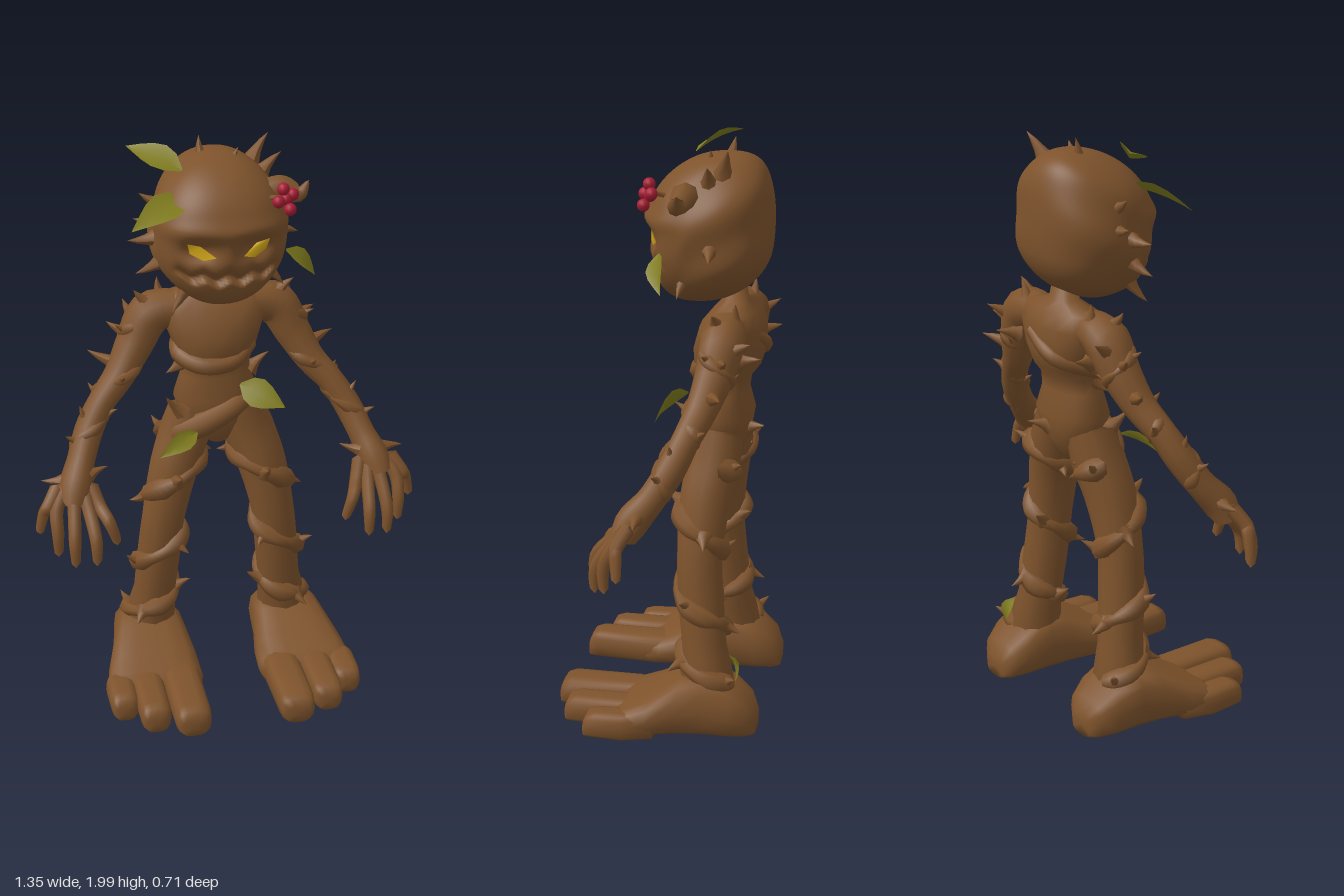
import * as THREE from 'three';

const material = (name, color) => {
  const m = new THREE.MeshStandardMaterial({ color });
  m.name = name;
  return m;
};
const V = (x, y, z) => new THREE.Vector3(x, y, z);

export function createModel() {
  const model = new THREE.Group();
  model.name = 'thornCreature';
  const bark = material('bark brown', 0x7e532c);
  const green = material('leaf green', 0x807c1e);
  const red = material('berry red', 0xa51c32);
  const yellow = material('eye yellow', 0xd6aa18);
  green.side = yellow.side = THREE.DoubleSide;

  const add = (name, geo, mat = bark) => {
    const mesh = new THREE.Mesh(geo, mat);
    mesh.name = name;
    model.add(mesh);
    return mesh;
  };

  // Tapered tube through [x, y, z, radius] points, mirrored by s
  const limb = (name, pts, s = 1, sides = 10, steps = 24) => {
    const curve = new THREE.CatmullRomCurve3(pts.map(p => V(p[0] * s, p[1], p[2])));
    const radius = t => {
      const f = Math.min(t, 0.9999) * (pts.length - 1), i = Math.floor(f);
      return THREE.MathUtils.lerp(pts[i][3], pts[i + 1][3], f - i);
    };
    const geo = new THREE.TubeGeometry(curve, steps, 1, sides);
    const pos = geo.attributes.position, nor = geo.attributes.normal;
    const v = V(), n = V();
    for (let i = 0; i < pos.count; i++) {
      const u = Math.floor(i / (sides + 1)) / steps;
      const end = u === 0 || u === 1 ? 0.05 : 1;
      v.fromBufferAttribute(pos, i);
      n.fromBufferAttribute(nor, i);
      v.addScaledVector(n, radius(curve.getUtoTmapping(u)) * end - 1);
      pos.setXYZ(i, v.x, v.y, v.z);
    }
    add(name, geo);
    return { curve, radius };
  };

  // Closed skin over equal-length rings, wound outward
  const loft = (name, rings) => {
    const n = rings[0].length, pts = rings.flat(), idx = [];
    const centre = r => r.reduce((a, p) => a.add(p), V()).divideScalar(n);
    pts.push(centre(rings[0]), centre(rings[rings.length - 1]));
    const last = (rings.length - 1) * n;
    for (let j = 0; j < n; j++) {
      const k = (j + 1) % n;
      for (let i = 0; i < last; i += n) idx.push(i + j, i + k, i + n + j, i + k, i + n + k, i + n + j);
      idx.push(pts.length - 2, k, j, pts.length - 1, last + j, last + k);
    }
    let volume = 0;
    for (let i = 0; i < idx.length; i += 3) volume += pts[idx[i]].dot(V().crossVectors(pts[idx[i + 1]], pts[idx[i + 2]]));
    if (volume < 0) idx.reverse();
    const geo = new THREE.BufferGeometry().setFromPoints(pts);
    geo.setIndex(idx);
    geo.computeVertexNormals();
    return add(name, geo);
  };
  const ring = (n, power, place) => Array.from({ length: n }, (_, i) => {
    const a = i / n * Math.PI * 2, c = Math.cos(a), d = Math.sin(a);
    return place(Math.sign(c) * Math.abs(c) ** power, Math.sign(d) * Math.abs(d) ** power);
  });

  // Hooked thorn with a flared base, one shared unit shape
  const thornGeo = new THREE.ConeGeometry(1, 1, 7, 4, true).translate(0, 0.5, 0);
  const tp = thornGeo.attributes.position;
  for (let i = 0; i < tp.count; i++) {
    const y = tp.getY(i), flare = 1 - 0.25 * Math.sin(y * Math.PI);
    tp.setX(i, tp.getX(i) * flare + 0.6 * y * (y - 1));
    tp.setZ(i, tp.getZ(i) * flare);
  }
  thornGeo.computeVertexNormals();
  const thorn = (base, tip, r) => {
    const d = tip.clone().sub(base), mesh = add('thorn', thornGeo);
    mesh.position.copy(base);
    mesh.scale.set(r, d.length(), r);
    mesh.quaternion.setFromUnitVectors(V(0, 1, 0), d.normalize());
  };

  // Vine winding down a limb, with thorns on its outside
  const vine = (name, body, s, { from, to, turns, phase, thick, lift, every, length }) => {
    const pts = [], count = Math.round(turns * 10);
    for (let i = 0; i <= count; i++) {
      const u = i / count, t = THREE.MathUtils.lerp(from, to, u);
      const a = phase - turns * Math.PI * 2 * u, out = V(Math.cos(a) * s, 0, Math.sin(a));
      const p = body.curve.getPoint(t).addScaledVector(out, body.radius(t) + lift);
      pts.push([p.x, p.y, p.z, thick * (0.85 + 0.3 * Math.sin(i * 1.7))]);
      if (i % every === 1) {
        const tip = p.clone().addScaledVector(out, length).add(V(0, i % 2 ? length * 0.6 : -length * 0.4, 0));
        thorn(p, tip, thick * 0.95);
      }
    }
    limb(name, pts, 1, 7, count * 3);
  };

  // Head: rounded block, crown leaning back and chin forward, with deep eye sockets and a jagged mouth
  const HC = V(0, 1.7, -0.13), R = V(0.228, 0.248, 0.208), N = 2.3;
  const carve = (x, y) => {
    const socket = 0.042 * Math.exp(-(((Math.abs(x) - 0.095) / 0.06) ** 2) - ((y - 1.675) / 0.04) ** 2);
    const zig = Math.abs(((x / 0.08 + 10) % 1) - 0.5) * 0.05;
    const above = y - (1.56 + zig + x * x * 0.7);
    const fade = 1 - THREE.MathUtils.smoothstep(Math.abs(x), 0.13, 0.19);
    const mouth = 0.03 * fade * Math.exp(-((above / (above > 0 ? 0.026 : 0.01)) ** 2));
    const brow = 0.012 * Math.exp(-(((y - 1.74) / 0.03) ** 2));
    return brow - socket - mouth;
  };
  const faceZ = (x, y) => HC.z + carve(x, y) + R.z *
    Math.max(0, 1 - Math.abs(x / R.x) ** N - Math.abs((y - HC.y) / R.y) ** N) ** (1 / N);
  const headGeo = new THREE.SphereGeometry(1, 120, 90);
  const hp = headGeo.attributes.position, d = V();
  for (let i = 0; i < hp.count; i++) {
    d.fromBufferAttribute(hp, i);
    const k = (Math.abs(d.x) ** N + Math.abs(d.y) ** N + Math.abs(d.z) ** N) ** (-1 / N);
    const front = THREE.MathUtils.smoothstep(d.z, 0.1, 0.4);
    const p = d.clone().multiplyScalar(k).multiply(R).add(HC);
    const crown = Math.max(0, p.y - 1.72) ** 2, chin = Math.max(0, 1.62 - p.y) ** 2;
    p.z += carve(p.x, p.y) * front - 1.1 * crown + 1.4 * chin;
    p.x = p.x * (1 - 3.5 * crown - 5 * chin) + 0.006 * Math.sin(p.y * 31 + p.z * 17) * (1 - front);
    hp.setXYZ(i, p.x, p.y, p.z);
  }
  headGeo.computeVertexNormals();
  add('head', headGeo);
  [[-0.05, 1.99, -0.2], [0.19, 1.98, -0.22], [0.07, 1.96, -0.14], [-0.31, 1.68, -0.1], [-0.28, 1.73, -0.17],
    [-0.29, 1.57, -0.08], [-0.18, 1.45, -0.01], [0.29, 1.64, -0.18], [0.21, 1.5, -0.06],
    [0.22, 1.93, -0.16], [-0.26, 1.82, -0.16]].forEach(t => {
    const tip = V(...t);
    thorn(HC.clone().lerp(tip, 0.6), tip, 0.048);
  });
  limb('browHorn', [[0.1, 1.8, -0.08, 0.05], [0.2, 1.83, -0.08, 0.045], [0.26, 1.81, -0.07, 0.028], [0.295, 1.85, -0.08, 0.004]], 1, 8);

  // Slanted eyes lying in the sockets
  for (const s of [-1, 1]) {
    const outline = [[0.137, 1.704], [0.092, 1.69], [0.045, 1.656], [0.085, 1.645], [0.127, 1.665]];
    const geo = new THREE.ShapeGeometry(new THREE.Shape(outline.map(p => new THREE.Vector2(p[0] * s, p[1]))));
    const ep = geo.attributes.position;
    for (let i = 0; i < ep.count; i++) ep.setZ(i, faceZ(ep.getX(i), ep.getY(i)) + 0.005);
    geo.computeVertexNormals();
    add('eye', geo, yellow);
  }

  // Torso from horizontal rings: height, depth centre, half width, half depth
  loft('torso', [[0.9, -0.17, 0.04, 0.05], [0.98, -0.18, 0.12, 0.09], [1.07, -0.185, 0.15, 0.1], [1.15, -0.185, 0.125, 0.08],
    [1.2, -0.185, 0.122, 0.088], [1.24, -0.192, 0.14, 0.112], [1.3, -0.2, 0.16, 0.122], [1.38, -0.21, 0.19, 0.108],
    [1.435, -0.222, 0.175, 0.075], [1.46, -0.215, 0.055, 0.045], [1.54, -0.21, 0.04, 0.035]]
    .map(([y, z, w, t]) => ring(16, 0.9, (c, e) => V(c * w, y, z + e * t))));
  limb('waistVine', [[0.13, 1.27, -0.16, 0.025], [0.04, 1.215, -0.1, 0.032], [-0.06, 1.21, -0.1, 0.034],
    [-0.13, 1.24, -0.17, 0.034], [-0.06, 1.29, -0.3, 0.03], [0.08, 1.36, -0.3, 0.02]], 1, 8, 36);
  limb('hipVine', [[0.13, 1.08, -0.2, 0.025], [0.06, 1.05, -0.105, 0.036], [-0.06, 0.99, -0.095, 0.045],
    [-0.15, 0.94, -0.14, 0.04], [-0.1, 0.92, -0.26, 0.025]], 1, 8, 30);
  [[[-0.13, 1.03, -0.13], [-0.19, 1.1, -0.1]], [[0.12, 1.15, -0.17], [0.19, 1.21, -0.17]], [[-0.12, 1.2, -0.17], [-0.18, 1.17, -0.15]],
    [[0.03, 1.02, -0.26], [0.06, 1.04, -0.33]]].forEach(([b, t]) => thorn(V(...b), V(...t), 0.035));

  for (const s of [-1, 1]) {
    // Arm and hand
    const arm = limb('arm', [[0.11, 1.39, -0.21, 0.06], [0.22, 1.37, -0.215, 0.078], [0.28, 1.27, -0.2, 0.066], [0.34, 1.17, -0.17, 0.054],
      [0.41, 1.09, -0.135, 0.047], [0.46, 1.01, -0.1, 0.05], [0.5, 0.92, -0.045, 0.048], [0.53, 0.85, 0.01, 0.058], [0.55, 0.78, 0.045, 0.04]], s, 10, 36);
    vine('armVine', arm, s, { from: 0.16, to: 0.78, turns: 2.6, phase: 1, thick: 0.023, lift: -0.012, every: 4, length: 0.045 });
    [[0.66, 0.69, 0.03], [0.605, 0.625, 0.085], [0.553, 0.6, 0.13], [0.482, 0.61, 0.15], [0.405, 0.66, 0.11]].forEach(([x, y, z], i) => {
      const bx = 0.585 - i * 0.026, kx = x + [-0.02, 0, 0, 0, 0.025][i];
      limb('finger', [[bx, 0.86, 0.005, 0.026], [(bx + kx) / 2 + (i < 2 ? 0.02 : 0), 0.79, 0.035 + z * 0.2, 0.024],
        [kx, y + 0.09, z * 0.9 + 0.01, 0.022], [x, y + 0.01, z, 0.015], [x, y, z, 0.004]], s, 7, 14);
    });
    // Shoulder, elbow and wrist thorns
    [[[0.22, 1.41, -0.2], [0.28, 1.47, -0.19], 0.04], [[0.17, 1.4, -0.24], [0.19, 1.49, -0.25], 0.04], [[0.28, 1.3, -0.21], [0.37, 1.34, -0.25], 0.045],
      [[0.26, 1.34, -0.23], [0.3, 1.39, -0.32], 0.045], [[0.31, 1.2, -0.18], [0.44, 1.24, -0.25], 0.05], [[0.46, 1.03, -0.1], [0.49, 1.1, -0.1], 0.03],
      [[0.55, 0.87, -0.01], [0.645, 0.87, -0.02], 0.035], [[0.48, 0.88, 0], [0.41, 0.9, -0.02], 0.028], [[0.2, 1.3, -0.26], [0.22, 1.32, -0.34], 0.035]]
      .forEach(([b, t, r]) => thorn(V(b[0] * s, b[1], b[2]), V(t[0] * s, t[1], t[2]), r));

    // Leg with its heavy vine
    const leg = limb('leg', [[0.08, 1.04, -0.18, 0.08], [0.115, 0.93, -0.17, 0.092], [0.16, 0.8, -0.15, 0.088], [0.2, 0.62, -0.14, 0.078],
      [0.22, 0.45, -0.15, 0.08], [0.235, 0.3, -0.165, 0.078], [0.25, 0.18, -0.178, 0.095], [0.25, 0.08, -0.18, 0.1]], s, 12, 32);
    vine('legVine', leg, s, { from: 0.14, to: 0.87, turns: 3.2, phase: -0.25, thick: 0.037, lift: -0.01, every: 3, length: 0.065 });

    // Foot from upright rings: z, x centre, half width, height
    const footRings = rows => rows.map(([z, x, w, h]) => ring(14, 0.65, (c, e) => V((x + c * w) * s, h * (e + 1) / 2, z)));
    loft('foot', footRings([[-0.355, 0.26, 0.05, 0.08], [-0.33, 0.26, 0.09, 0.13], [-0.27, 0.262, 0.115, 0.18], [-0.18, 0.262, 0.128, 0.22],
      [-0.1, 0.265, 0.14, 0.2], [0, 0.272, 0.165, 0.145], [0.08, 0.278, 0.174, 0.11], [0.13, 0.28, 0.16, 0.08]]));
    [[0.187, 0.065, 0.355, 0.105], [0.312, 0.055, 0.305, 0.1], [0.408, 0.05, 0.215, 0.095]].forEach(([x, w, end, h]) =>
      loft('toe', footRings([[-0.02, x - (x - 0.28) * 0.2, w * 0.8, h], [0.08, x, w * 1.05, h + 0.005], [end - 0.04, x, w, h],
        [end - 0.012, x, w * 0.92, h * 0.9], [end, x, w * 0.7, h * 0.65]])));
  }

  // Folded leaves: base, tip, width, facing direction
  [[[-0.135, 1.92, -0.05], [-0.295, 1.975, -0.18], 0.1, [-0.1, 1, 0.65]], [[-0.12, 1.83, -0.05], [-0.32, 1.765, 0.06], 0.11, [0, 1, 0.7]],
    [[0.2, 1.645, 0], [0.31, 1.535, -0.03], 0.075, [0.6, 0.7, 0.7]], [[0.065, 1.14, -0.07], [0.205, 1.075, 0.015], 0.105, [-0.2, 0.5, 1]],
    [[-0.09, 0.975, -0.06], [-0.235, 0.925, 0.01], 0.07, [0, 0.7, 1]], [[0.268, 0.28, -0.258], [0.288, 0.19, -0.283], 0.05, [-0.2, 0.2, -1]]]
    .forEach(([b, t, width, f]) => {
      const base = V(...b), along = V(...t).sub(base);
      const side = along.clone().cross(V(...f)).normalize(), up = side.clone().cross(along).normalize();
      const pts = [], idx = [];
      [0.1, 0.8, 1, 0.8, 0.42, 0].forEach((w, i) => {
        const mid = base.clone().addScaledVector(along, i / 5).addScaledVector(up, 0.012 * Math.sin(i / 5 * Math.PI));
        for (const k of [-1, 0, 1]) pts.push(mid.clone().addScaledVector(side, k * w * width / 2).addScaledVector(up, Math.abs(k) * w * 0.014));
        const a = i * 3;
        if (i < 5) for (const j of [a, a + 1]) idx.push(j, j + 1, j + 3, j + 1, j + 4, j + 3);
      });
      const geo = new THREE.BufferGeometry().setFromPoints(pts);
      geo.setIndex(idx);
      geo.computeVertexNormals();
      add('leaf', geo, green);
    });

  // Berry cluster
  const berryGeo = new THREE.SphereGeometry(0.021, 12, 8);
  [[0.18, 1.865, 0.035], [0.215, 1.84, 0.02], [0.16, 1.83, 0.055], [0.19, 1.83, 0.03], [0.2, 1.8, 0.05]]
    .forEach(p => add('berry', berryGeo, red).position.set(...p));
  limb('berryStem', [[0.13, 1.81, -0.04, 0.01], [0.16, 1.83, 0.01, 0.008], [0.185, 1.835, 0.03, 0.006]], 1, 5, 6);

  return model;
}
